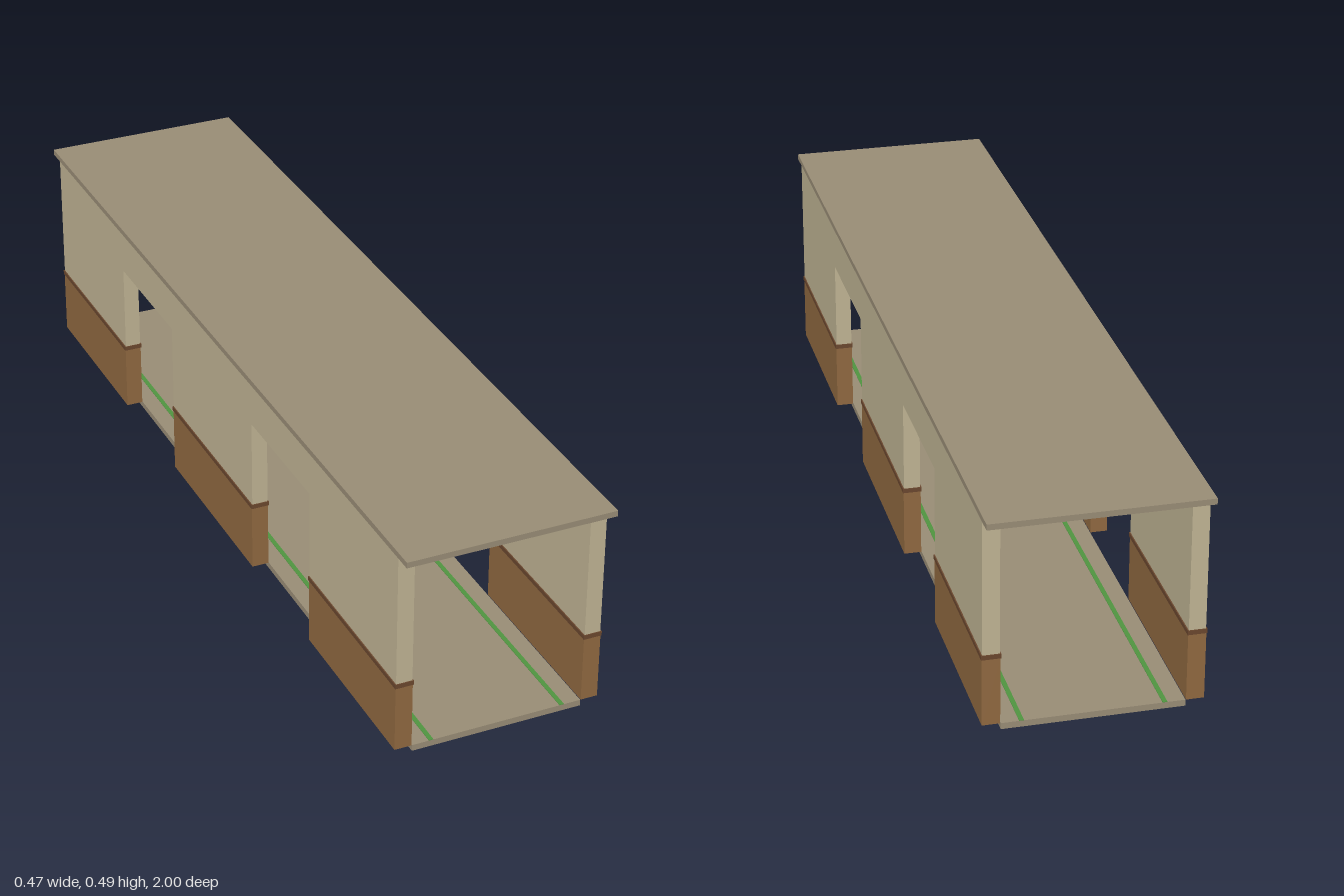
import * as THREE from 'three';

const mat = (name, color) => {
  const m = new THREE.MeshStandardMaterial({ color });
  m.name = name;
  return m;
};

export function createModel() {
  const slabTan = mat('slab taupe', 0x988c75);
  const plaster = mat('plaster cream', 0xbfb393);
  const panel = mat('panel brown', 0x8f6840);
  const rail = mat('rail dark brown', 0x6a472e);
  const green = mat('stripe green', 0x4f9440);
  const frameDark = mat('lamp frame charcoal', 0x363a40);
  const lampPale = mat('lamp pale', 0xc8c2a0);

  const model = new THREE.Group();
  model.name = 'corridor';

  const box = (parent, name, m, [x0, x1], [y0, y1], [z0, z1]) => {
    const mesh = new THREE.Mesh(new THREE.BoxGeometry(x1 - x0, y1 - y0, z1 - z0), m);
    mesh.position.set((x0 + x1) / 2, (y0 + y1) / 2, (z0 + z1) / 2);
    mesh.name = name;
    parent.add(mesh);
    return mesh;
  };

  // Floor and roof slabs
  box(model, 'floor', slabTan, [-0.192, 0.192], [0, 0.014], [-0.96, 0.96]);
  box(model, 'roof', slabTan, [-0.231, 0.231], [0.475, 0.488], [-1, 1]);

  // Upper wall outline with two doorways, drawn along z and extruded across x
  const outline = [
    [-0.96, 0.174], [-0.537, 0.174], [-0.537, 0.378], [-0.23, 0.378], [-0.23, 0.174],
    [0.23, 0.174], [0.23, 0.378], [0.537, 0.378], [0.537, 0.174], [0.96, 0.174],
    [0.96, 0.475], [-0.96, 0.475],
  ].map(([z, y]) => new THREE.Vector2(z, y));
  const wallDepth = 0.036;
  const wallGeometry = new THREE.ExtrudeGeometry(new THREE.Shape(outline), { depth: wallDepth, bevelEnabled: false });
  wallGeometry.translate(0, 0, -wallDepth / 2).rotateY(-Math.PI / 2);

  const piers = [[-0.96, -0.537], [-0.23, 0.23], [0.537, 0.96]];
  for (const side of [1, -1]) {
    const wall = new THREE.Group();
    wall.name = side > 0 ? 'leftWall' : 'rightWall';
    wall.position.x = side * 0.212;
    model.add(wall);

    const upper = new THREE.Mesh(wallGeometry, plaster);
    upper.name = 'upperWall';
    wall.add(upper);

    // Lower panelling with a slightly proud rail on each pier
    for (const [z0, z1] of piers) {
      box(wall, 'lowerPanel', panel, [-0.019, 0.019], [0.014, 0.166], [z0, z1]);
      box(wall, 'chairRail', rail, [-0.0205, 0.0205], [0.165, 0.175], [z0 - 0.002, z1 + 0.002]);
    }

    // Floor guide stripe
    const x = side * 0.149;
    box(model, 'floorStripe', green, [x - 0.005, x + 0.005], [0.0135, 0.0152], [-0.96, 0.96]);
  }

  // Ceiling lamps: a square frame around a recessed pale panel
  const square = (s, Type) => new Type([[-s, -s], [s, -s], [s, s], [-s, s]].map(([a, b]) => new THREE.Vector2(a, b)));
  const frameShape = square(0.063, THREE.Shape);
  frameShape.holes.push(square(0.05, THREE.Path));
  const frameGeometry = new THREE.ExtrudeGeometry(frameShape, { depth: 0.008, bevelEnabled: false }).rotateX(Math.PI / 2);
  for (const z of [-0.775, 0, 0.775]) {
    const lamp = new THREE.Group();
    lamp.name = 'ceilingLamp';
    lamp.position.set(0, 0.475, z);
    const frame = new THREE.Mesh(frameGeometry, frameDark);
    frame.name = 'lampFrame';
    lamp.add(frame);
    box(lamp, 'lampPanel', lampPale, [-0.05, 0.05], [-0.005, 0], [-0.05, 0.05]);
    model.add(lamp);
  }

  return model;
}
